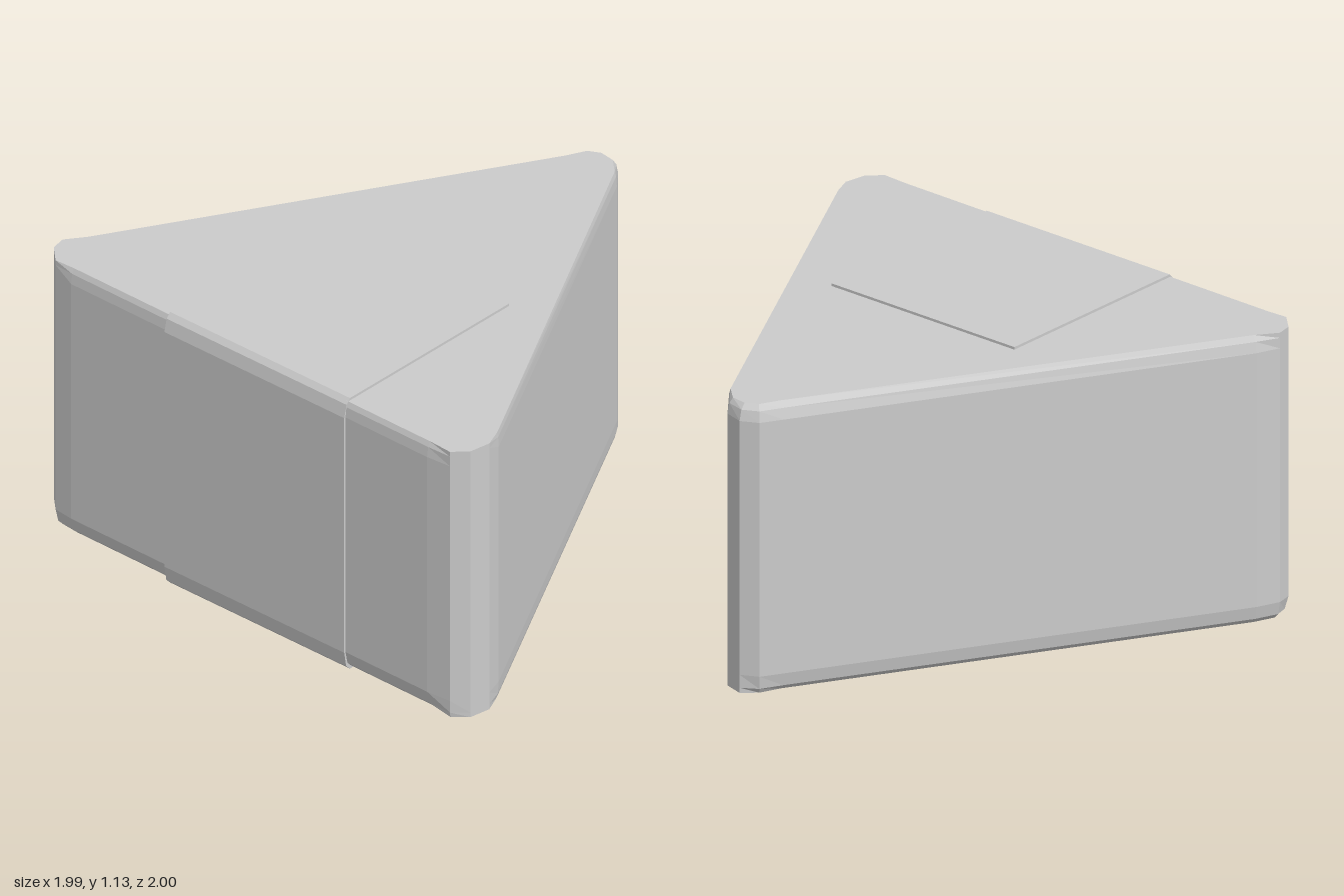
import * as THREE from 'three';

// Corner points of the plan, clockwise from above: x, z, top bevel, bottom bevel
const PLAN = [
  [0.20, -0.91, 0.035, 0.03], [0.26, -0.98, 0.03, 0.02], [0.33, -1.0, 0.03, 0.0],
  [0.40, -0.965, 0.02, 0.0], [0.44, -0.89, 0.008, 0.008],
  [0.98, 0.80, 0.005, 0.008], [0.99, 0.88, 0.0, 0.0], [0.96, 0.96, 0.0, 0.0],
  [0.90, 1.0, 0.0, 0.005], [0.80, 0.99, 0.014, 0.03],
  [-0.87, 0.665, 0.014, 0.03], [-0.95, 0.64, 0.0, 0.03], [-1.0, 0.57, 0.0, 0.04],
  [-1.0, 0.51, 0.0, 0.03], [-0.95, 0.43, 0.025, 0.03],
];

// Height, share of the top bevel, share of the bottom bevel
const LEVELS = [
  [0.01, 0, 1], [0.03, 0, 0.35], [0.08, 0, 0], [1.06, 0, 0], [1.1, 0.35, 0], [1.12, 1, 0],
];

function loftGeometry(plan, levels) {
  const n = plan.length;
  const rings = levels.map(([y, top, bottom]) => plan.map(([x, z, t, b], i) => {
    const p = plan[(i + n - 1) % n], q = plan[(i + 1) % n];
    const inward = new THREE.Vector2(p[1] - q[1], q[0] - p[0]).normalize();
    const inset = t * top + b * bottom;
    return new THREE.Vector3(x + inward.x * inset, y, z + inward.y * inset);
  }));
  const points = [];
  const bottomCentre = new THREE.Vector3(0.1, levels[0][0], 0.2);
  const topCentre = new THREE.Vector3(0.1, levels[levels.length - 1][0], 0.2);
  const last = rings[rings.length - 1];
  for (let i = 0; i < n; i++) {
    const j = (i + 1) % n;
    for (let k = 0; k + 1 < rings.length; k++) {
      const lo = rings[k], hi = rings[k + 1];
      points.push(lo[i], hi[i], hi[j], lo[i], hi[j], lo[j]);
    }
    points.push(topCentre, last[j], last[i], bottomCentre, rings[0][i], rings[0][j]);
  }
  const geometry = new THREE.BufferGeometry().setFromPoints(points);
  geometry.computeVertexNormals();
  return geometry;
}

export function createModel() {
  const group = new THREE.Group();
  const material = new THREE.MeshStandardMaterial({ color: 0xcccccc, flatShading: true });

  // Rounded triangular body
  const body = new THREE.Mesh(loftGeometry(PLAN, LEVELS), material);
  body.name = 'wedgeBody';
  group.add(body);

  // Raised band over the top, front and bottom: side profile swept across its width
  const width = 0.854, half = 0.435;
  const profile = new THREE.Shape([
    [-half, 0], [half - 0.03, 0], [half - 0.01, 0.02], [half, 0.08],
    [half, 1.06], [half - 0.012, 1.11], [half - 0.03, 1.13], [-half, 1.13],
  ].map(([x, y]) => new THREE.Vector2(x, y)));
  const bandGeometry = new THREE.ExtrudeGeometry(profile, { depth: width, bevelEnabled: false });
  bandGeometry.translate(0, 0, -width / 2).rotateY(-Math.PI / 2);
  const band = new THREE.Mesh(bandGeometry, material);
  band.name = 'labelBand';
  band.position.set(0.076, 0, 0.416);
  band.rotation.y = -0.185;
  group.add(band);

  return group;
}
